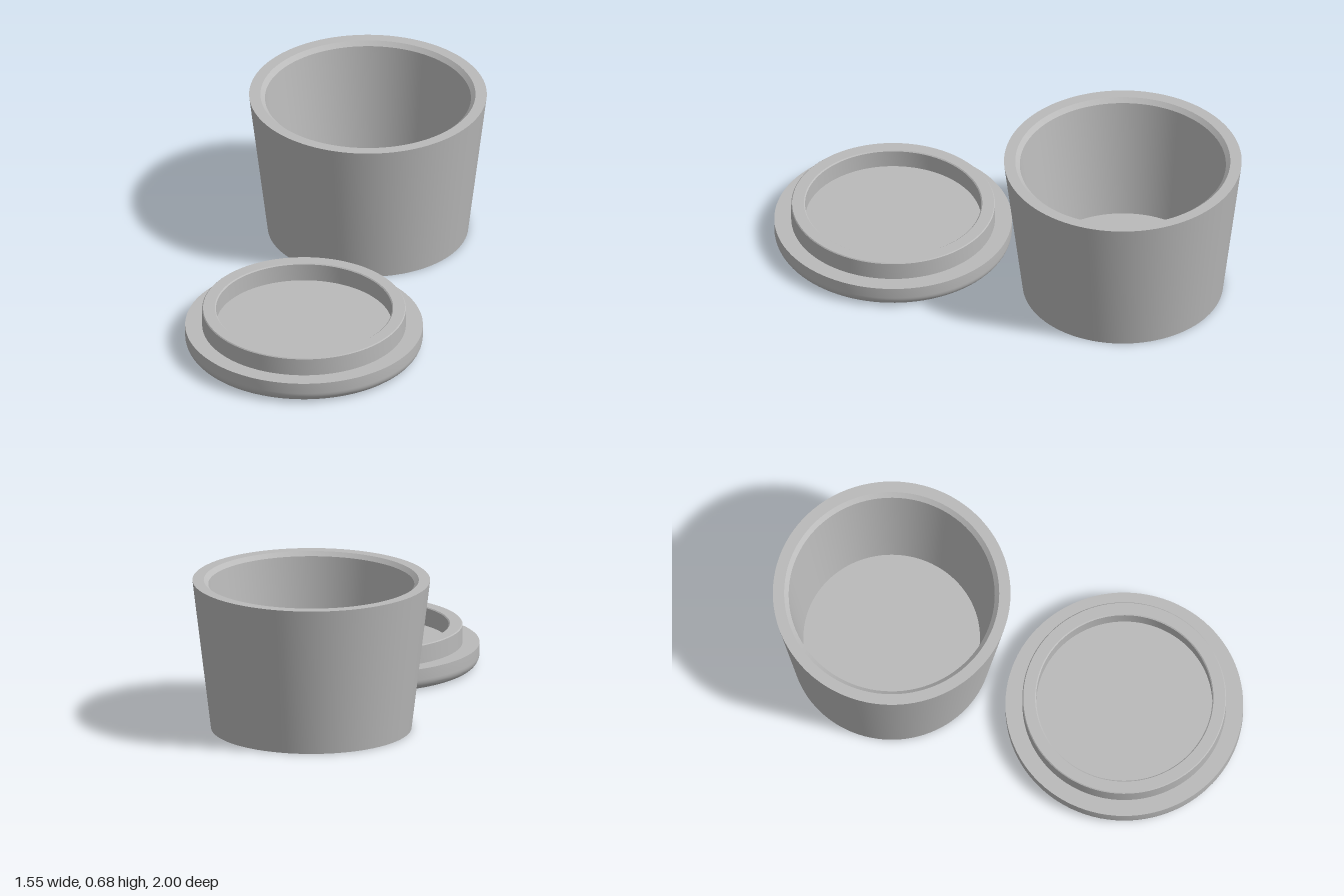
import * as THREE from 'three';
import { toCreasedNormals } from 'three/addons/utils/BufferGeometryUtils.js';

const grey = new THREE.MeshStandardMaterial({ color: 0xbababa });
grey.name = 'grey';

// Turned solid from a closed profile of [radius, height] pairs, bottom centre first
function turned(name, profile, x, z) {
  const points = profile.map(([r, y]) => new THREE.Vector2(r, y));
  const geometry = toCreasedNormals(new THREE.LatheGeometry(points, 96), 0.5);
  const mesh = new THREE.Mesh(geometry, grey);
  mesh.name = name;
  mesh.position.set(x, 0, z);
  return mesh;
}

export function createModel() {
  const model = new THREE.Group();
  model.name = 'potWithLid';

  // Tapered pot: slightly recessed base, thick wall, chamfered inner lip
  model.add(turned('pot', [
    [0, 0.004], [0.39, 0.004], [0.39, 0],
    [0.443, 0], [0.525, 0.675],
    [0.475, 0.675], [0.455, 0.657],
    [0.39, 0.1], [0, 0.1],
  ], 0.25, -0.475));

  // Upturned lid: rounded lower edge and a raised locating ring
  const fillet = 0.05;
  const roundedEdge = [];
  for (let i = 0; i <= 10; i++) {
    const a = (i / 10) * Math.PI / 2;
    roundedEdge.push([
      0.525 - fillet + fillet * Math.sin(a),
      fillet - fillet * Math.cos(a),
    ]);
  }
  model.add(turned('lid', [
    [0, 0], ...roundedEdge,
    [0.525, 0.1], [0.45, 0.1],
    [0.45, 0.181], [0.446, 0.185],
    [0.394, 0.185], [0.389, 0.181],
    [0.389, 0.1], [0, 0.1],
  ], -0.25, 0.475));

  return model;
}
